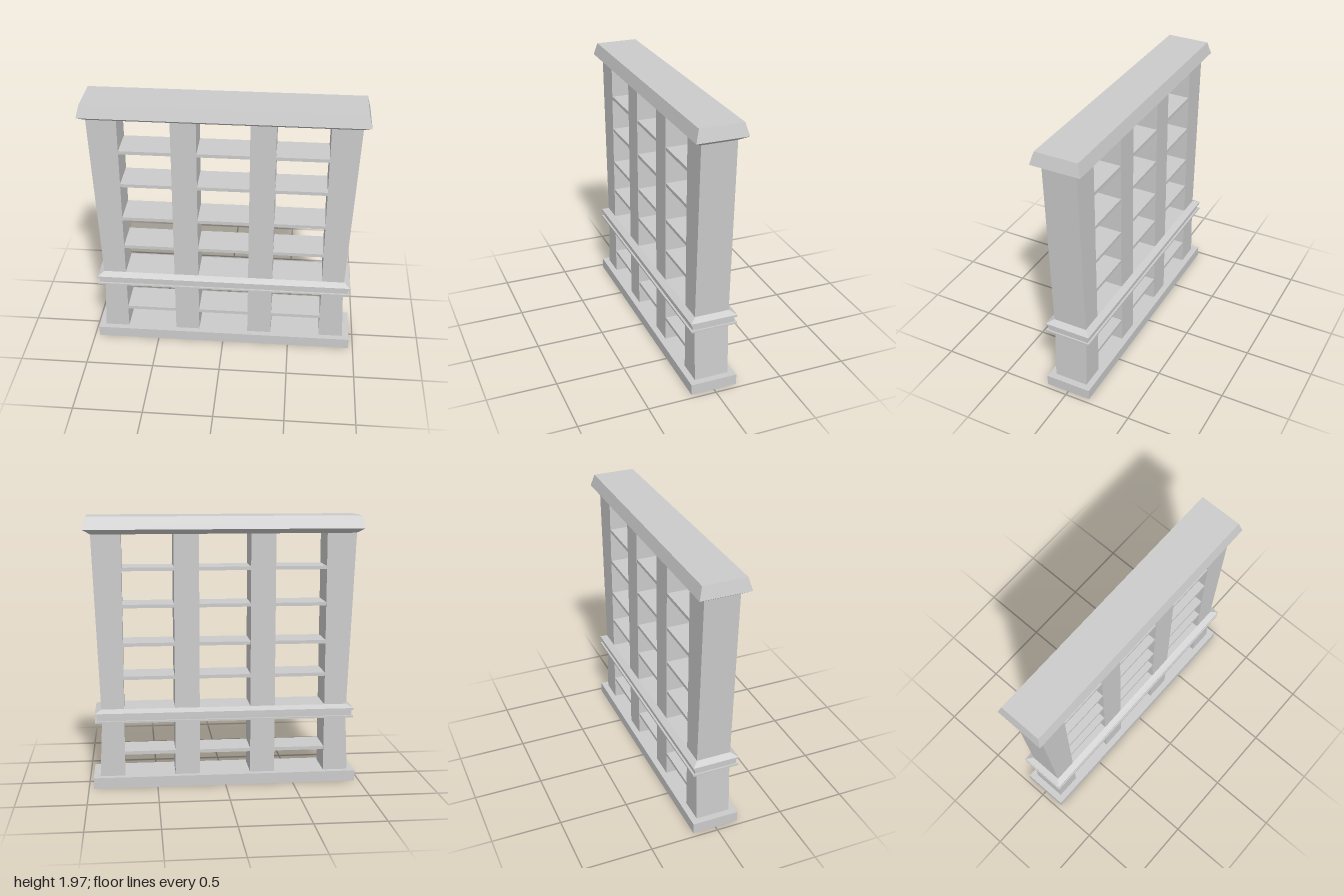
import * as THREE from 'three';

const material = new THREE.MeshStandardMaterial({ color: 0xcccccc, flatShading: true });
const openMaterial = new THREE.MeshStandardMaterial({ color: 0xcccccc, flatShading: true, side: THREE.DoubleSide });

// Stacks rectangular rings [y, xMin, xMax, halfDepth] from bottom to top
function loft(name, rings, openBottom = false) {
  const positions = [];
  const index = [];
  for (const [y, x0, x1, z] of rings) {
    positions.push(x0, y, z, x1, y, z, x1, y, -z, x0, y, -z);
  }
  for (let r = 0; r < rings.length - 1; r++) {
    for (let i = 0; i < 4; i++) {
      const a = r * 4 + i;
      const b = r * 4 + (i + 1) % 4;
      index.push(a, b, b + 4, a, b + 4, a + 4);
    }
  }
  const t = (rings.length - 1) * 4;
  index.push(t, t + 1, t + 2, t, t + 2, t + 3);
  if (!openBottom) index.push(0, 2, 1, 0, 3, 2);
  const indexed = new THREE.BufferGeometry();
  indexed.setAttribute('position', new THREE.Float32BufferAttribute(positions, 3));
  indexed.setIndex(index);
  const geometry = indexed.toNonIndexed();
  geometry.computeVertexNormals();
  const mesh = new THREE.Mesh(geometry, openBottom ? openMaterial : material);
  mesh.name = name;
  return mesh;
}

// Same, for moldings centred on x: [y, halfWidth, halfDepth]
const molding = (name, profile, openBottom) =>
  loft(name, profile.map(([y, x, z]) => [y, -x, x, z]), openBottom);

export function createModel() {
  const group = new THREE.Group();
  group.name = 'bookcase';

  // Plinth, hollow underneath
  group.add(molding('base', [[0, 0.965, 0.17], [0.08, 0.965, 0.17]], true));

  // Cornice with flared underside
  group.add(molding('cornice', [
    [1.842, 0.945, 0.125], [1.877, 1, 0.18], [1.967, 0.977, 0.155],
  ]));

  // Waist band with a recessed groove between two lips
  group.add(molding('waistBand', [
    [0.478, 0.9, 0.125], [0.49, 0.945, 0.17], [0.503, 0.945, 0.17], [0.503, 0.933, 0.155],
    [0.545, 0.933, 0.155], [0.545, 0.945, 0.17], [0.56, 0.945, 0.17], [0.583, 0.9, 0.125],
  ]));

  // Tapered outer posts and straight inner posts, mirrored
  const outer = [[0.04, 0.918], [0.48, 0.897], [0.58, 0.899], [1.85, 0.948]];
  for (const side of [1, -1]) {
    const prefix = side > 0 ? 'left' : 'right';
    const span = (y, a, b) => [y, Math.min(a * side, b * side), Math.max(a * side, b * side), 0.125];
    group.add(loft(prefix + 'OuterPost', outer.map(([y, x]) => span(y, 0.735, x))));
    group.add(loft(prefix + 'InnerPost', [0.04, 1.85].map((y) => span(y, 0.186, 0.366))));
  }

  // Thin shelves in the three bays
  const bays = [[-0.735, -0.366], [-0.186, 0.186], [0.366, 0.735]];
  for (const y of [0.25, 0.81, 1.053, 1.331, 1.595]) {
    for (const [x0, x1] of bays) {
      const shelf = new THREE.Mesh(new THREE.BoxGeometry(x1 - x0, 0.025, 0.245), material);
      shelf.position.set((x0 + x1) / 2, y, 0);
      shelf.name = 'shelf';
      group.add(shelf);
    }
  }
  return group;
}
